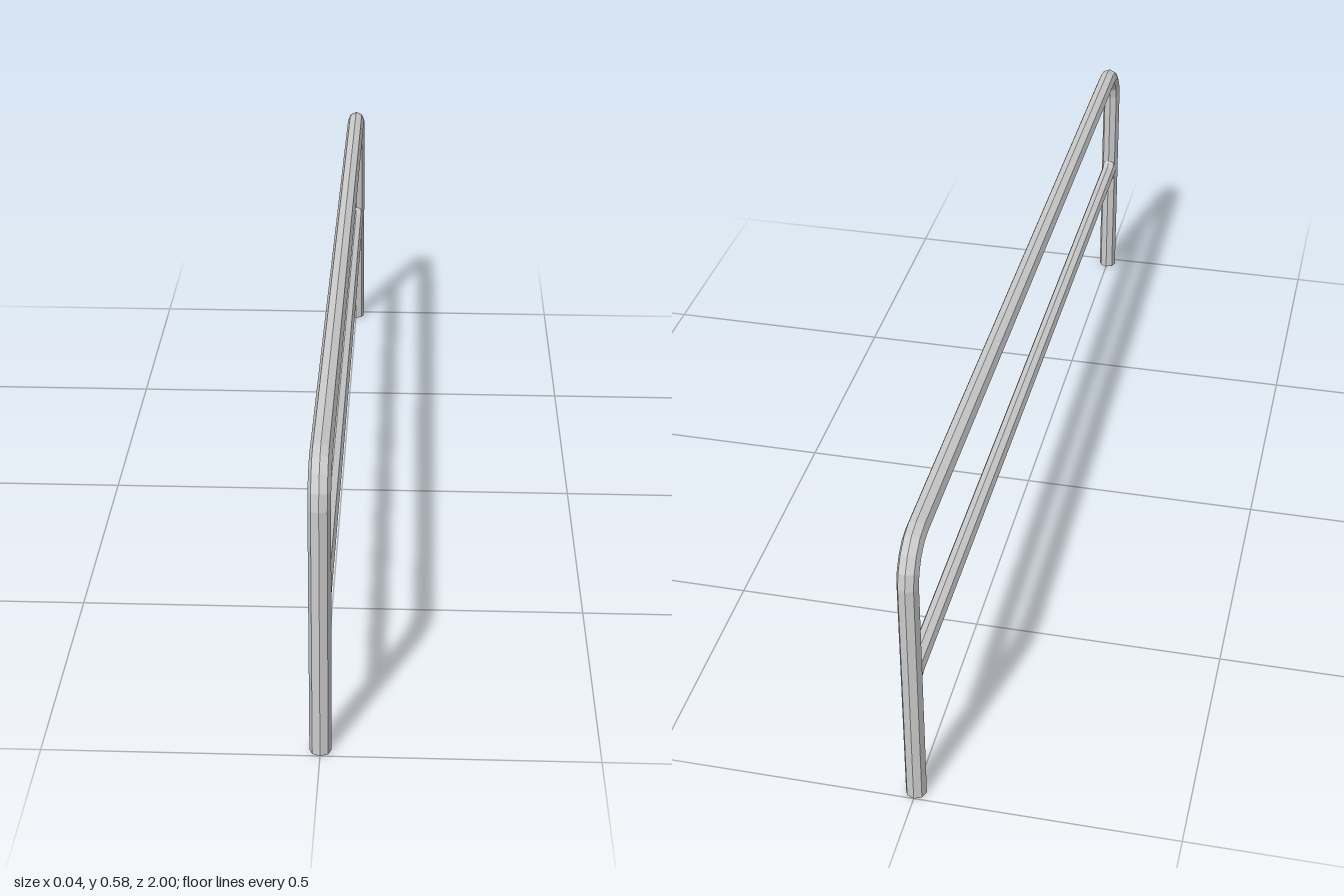
import * as THREE from 'three';

const R = 0.02;        // main pipe radius
const RAIL_R = 0.0175; // middle rail radius
const Z = 0.98, TOP = 0.56, BEND = 0.07, RAIL_Y = 0.283;
const SIDES = 8, BEND_STEPS = 4;

// Curve that steps exactly through its points, so straight runs need no extra rings
class StepCurve extends THREE.Curve {
  constructor(points) {
    super();
    this.points = points;
  }
  getPointAt(u, target = new THREE.Vector3()) {
    return target.copy(this.points[Math.round(u * (this.points.length - 1))]);
  }
  getTangentAt(u, target = new THREE.Vector3()) {
    const p = this.points, i = Math.round(u * (p.length - 1));
    target.set(0, 0, 0);
    if (i > 0) target.add(p[i].clone().sub(p[i - 1]).normalize());
    if (i < p.length - 1) target.add(p[i + 1].clone().sub(p[i]).normalize());
    return target.normalize();
  }
}

export function createModel() {
  const group = new THREE.Group();
  group.name = 'handrail';
  const material = new THREE.MeshStandardMaterial({
    color: 0xcccccc, flatShading: true, side: THREE.DoubleSide,
  });

  // Hoop: two posts and the top rail in one bent pipe, open at the feet
  const half = [new THREE.Vector3(0, 0, Z)];
  for (let i = 0; i <= BEND_STEPS; i++) {
    const a = (i / BEND_STEPS) * Math.PI / 2;
    half.push(new THREE.Vector3(0, TOP - BEND + BEND * Math.sin(a), Z - BEND + BEND * Math.cos(a)));
  }
  const mirrored = half.map(p => new THREE.Vector3(0, p.y, -p.z)).reverse();
  const path = [...half, ...mirrored];
  const hoop = new THREE.Mesh(
    new THREE.TubeGeometry(new StepCurve(path), path.length - 1, R, SIDES, false), material);
  hoop.name = 'postsAndTopRail';
  group.add(hoop);

  // Middle rail, its ends flared up and down where they join the posts
  const stations = [-0.975, -0.963, -0.957, -0.948, 0.948, 0.957, 0.963, 0.975];
  const rail = new THREE.LatheGeometry(stations.map(s => new THREE.Vector2(RAIL_R, s)), SIDES);
  rail.rotateX(Math.PI / 2);
  const pos = rail.attributes.position;
  for (let i = 0; i < pos.count; i++) {
    const t = THREE.MathUtils.clamp((Math.abs(pos.getZ(i)) - 0.948) / 0.015, 0, 1);
    pos.setY(i, pos.getY(i) * (1 + 0.75 * t * t));
  }
  rail.computeVertexNormals();
  const middle = new THREE.Mesh(rail, material);
  middle.name = 'middleRail';
  middle.position.y = RAIL_Y;
  group.add(middle);

  return group;
}
